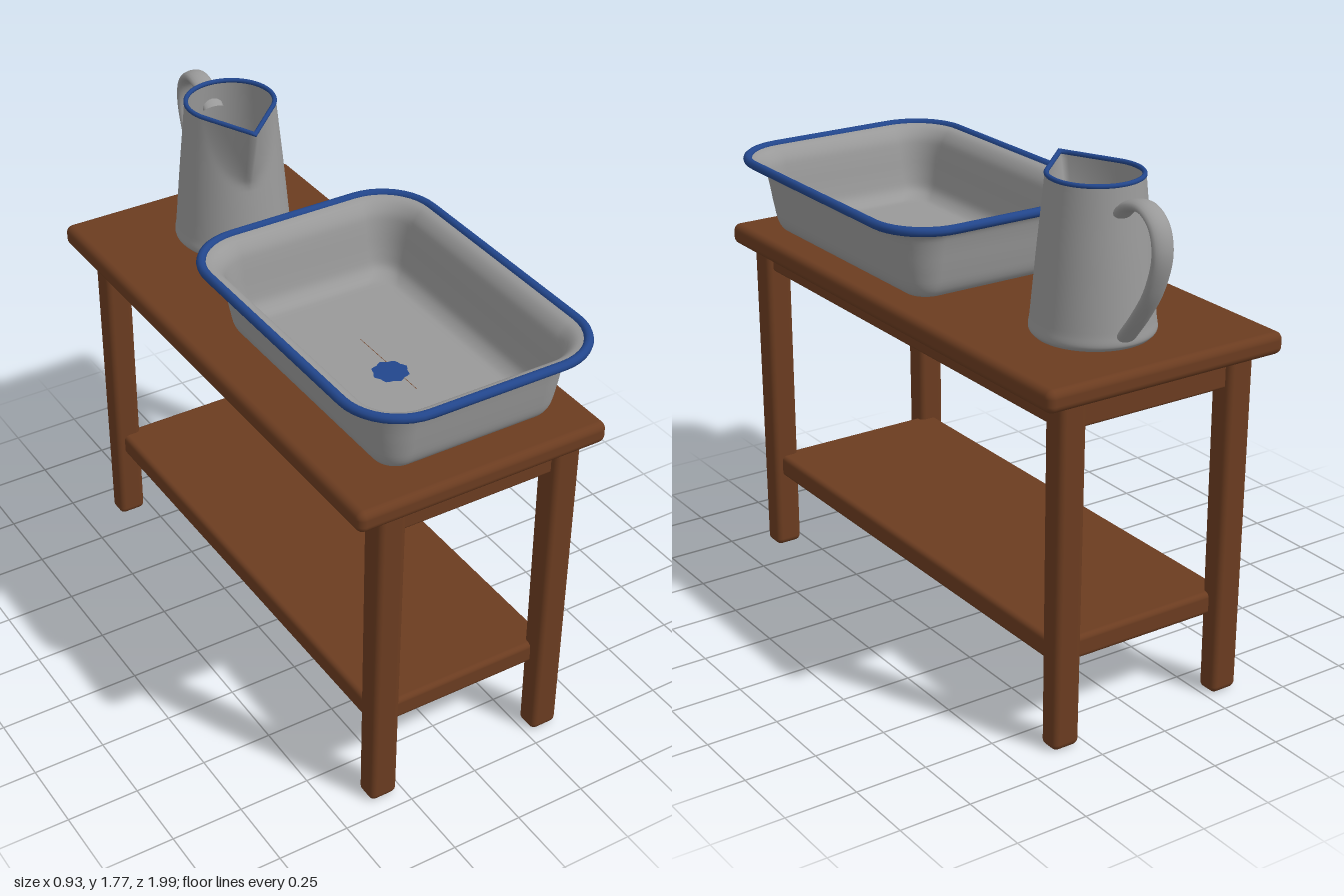
import * as THREE from 'three';
import { RoundedBoxGeometry } from 'three/addons/geometries/RoundedBoxGeometry.js';

const material = (name, color) => {
  const m = new THREE.MeshStandardMaterial({ color });
  m.name = name;
  return m;
};

// Skin a stack of closed rings (each an array of Vector3) with smooth normals
function loft(rings) {
  const n = rings[0].length, pos = [], idx = [];
  rings.forEach((ring) => ring.forEach((p) => pos.push(p.x, p.y, p.z)));
  for (let k = 0; k < rings.length - 1; k++) {
    for (let j = 0; j < n; j++) {
      const a = k * n + j, b = k * n + (j + 1) % n;
      idx.push(a, a + n, b + n, a, b + n, b);
    }
  }
  const g = new THREE.BufferGeometry();
  g.setAttribute('position', new THREE.Float32BufferAttribute(pos, 3));
  g.setIndex(idx);
  g.computeVertexNormals();
  return g;
}

// Smooth a coarse [radius, height] profile
function smooth(points, count) {
  const c = new THREE.CatmullRomCurve3(points.map(([r, y]) => new THREE.Vector3(r, y, 0)), false, 'centripetal');
  return c.getPoints(count).map((p) => [p.x, p.y]);
}

// Half-circle bead from the outer wall over to the inner wall
function bead(r, y, radius, from, to) {
  return Array.from({ length: 11 }, (_, i) => {
    const t = from + (to - from) * i / 10;
    return [r + radius * Math.cos(t), y + radius * Math.sin(t)];
  });
}

// Rounded rectangle ring of the basin; h is half its width
function basinRing([h, y]) {
  const hx = Math.max(h, 0.001), hz = hx + 0.165, r = Math.min(Math.max(h - 0.235, 0.07), hx);
  const ring = [];
  for (let q = 0; q < 4; q++) {
    const sx = q === 0 || q === 3 ? 1 : -1, sz = q < 2 ? 1 : -1;
    for (let i = 0; i <= 10; i++) {
      const t = (q + i / 10) * Math.PI / 2;
      ring.push(new THREE.Vector3(sx * (hx - r) + r * Math.cos(t), y, sz * (hz - r) + r * Math.sin(t)));
    }
  }
  return ring;
}

// Round ring of the jug, drawn out to a pointed spout near the top
function jugRing([r, y]) {
  const s = THREE.MathUtils.clamp((y - 1.53) / 0.235, 0, 1);
  const reach = Math.acos(0.15 / (0.15 + 0.108 * s));
  return Array.from({ length: 96 }, (_, i) => {
    const t = i / 96 * Math.PI * 2;
    let a = Math.abs(t - Math.PI / 2);
    a = Math.min(a, Math.PI * 2 - a);
    const q = r / Math.cos(Math.max(0, reach - a));
    return new THREE.Vector3(q * Math.cos(t), y, q * Math.sin(t));
  });
}

export function createModel() {
  const model = new THREE.Group();
  const wood = material('brown wood', 0x6b3c20);
  const enamel = material('grey enamel', 0x999999);
  const blue = material('blue trim', 0x22468c);

  const add = (parent, name, geometry, mat) => {
    const mesh = new THREE.Mesh(geometry, mat);
    mesh.name = name;
    parent.add(mesh);
    return mesh;
  };
  const group = (name, x, z) => {
    const g = new THREE.Group();
    g.name = name;
    g.position.set(x, 0, z);
    model.add(g);
    return g;
  };
  const board = (parent, name, min, max, radius) => {
    const s = max.map((v, i) => v - min[i]);
    const g = new RoundedBoxGeometry(s[0], s[1], s[2], 4, radius);
    g.translate(...min.map((v, i) => v + s[i] / 2));
    return add(parent, name, g, wood);
  };

  // Table
  const table = group('table', 0, 0);
  board(table, 'tableTop', [-0.465, 1.18, -0.957], [0.44, 1.255, 0.997], 0.026);
  board(table, 'shelf', [-0.34, 0.28, -0.87], [0.34, 0.36, 0.905], 0.018);
  for (const side of [-1, 1]) {
    const x = side * 0.322;
    board(table, 'sideApron', [x - 0.025, 1.09, -0.86], [x + 0.025, 1.19, 0.89], 0.01);
    const z = side > 0 ? 0.915 : -0.88;
    board(table, 'endApron', [-0.3, 1.09, z - 0.025], [0.3, 1.19, z + 0.025], 0.01);

    // Legs, tapering a little on the end faces
    for (const end of [-1, 1]) {
      const [z0, z1] = end > 0 ? [0.866, 0.963] : [-0.925, -0.834];
      const leg = board(table, 'leg', [x - 0.05, 0, z0], [x + 0.05, 1.2, z1], 0.022);
      const p = leg.geometry.attributes.position, inner = end > 0 ? z0 : z1;
      for (let i = 0; i < p.count; i++) {
        const k = 1 - 0.17 * (1 - p.getY(i) / 1.2);
        p.setZ(i, inner + (p.getZ(i) - inner) * k);
      }
    }
  }

  // Basin
  const basin = group('basin', 0.024, 0.39);
  const outer = smooth([[0.27, 1.255], [0.3, 1.258], [0.322, 1.285], [0.338, 1.35],
    [0.354, 1.44], [0.366, 1.48], [0.39, 1.502], [0.424, 1.512]], 28);
  const inner = smooth([[0.424, 1.526], [0.385, 1.516], [0.356, 1.485], [0.342, 1.44],
    [0.324, 1.35], [0.308, 1.3], [0.275, 1.274], [0.24, 1.27]], 28);
  add(basin, 'basinOuterWall', loft([[0, 1.255], ...outer].map(basinRing)), enamel);
  add(basin, 'basinInnerWall', loft([...inner, [0, 1.27]].map(basinRing)), enamel);
  add(basin, 'basinRim', loft(bead(0.424, 1.52, 0.016, -Math.PI * 0.8, Math.PI * 1.2).map(basinRing)), blue);

  // Worn spot on the basin floor
  const spot = new THREE.Shape(Array.from({ length: 32 }, (_, i) => {
    const t = i / 32 * Math.PI * 2, r = 0.058 + 0.004 * Math.cos(8 * t);
    return new THREE.Vector2(r * Math.cos(t), r * Math.sin(t));
  }));
  const spotMesh = add(basin, 'floorSpot', new THREE.ShapeGeometry(spot), blue);
  spotMesh.rotation.x = -Math.PI / 2;
  spotMesh.position.set(-0.022, 1.275, 0.047);

  // Jug
  const jug = group('jug', 0.022, -0.606);
  const wall = smooth([[0.19, 1.255], [0.202, 1.27], [0.198, 1.31], [0.188, 1.42],
    [0.177, 1.54], [0.165, 1.66], [0.155, 1.765]], 32);
  const lining = smooth([[0.145, 1.765], [0.155, 1.66], [0.167, 1.54], [0.178, 1.42],
    [0.186, 1.31], [0.17, 1.275]], 28);
  const body = new THREE.Group();
  body.name = 'jugBody';
  body.rotation.y = -0.19;
  jug.add(body);
  add(body, 'jugOuterWall', loft([[0, 1.255], ...wall].map(jugRing)), enamel);
  add(body, 'jugInnerWall', loft([...lining, [0, 1.272]].map(jugRing)), enamel);
  add(body, 'jugRim', loft(bead(0.15, 1.766, 0.008, -Math.PI * 0.5, Math.PI * 1.5).map(jugRing)), blue);

  // Jug handle: a flat oval strap swept along a curve
  const path = new THREE.CatmullRomCurve3([[0.14, 1.67], [0.2, 1.715], [0.285, 1.73], [0.35, 1.69],
    [0.372, 1.61], [0.335, 1.49], [0.265, 1.385], [0.215, 1.325], [0.185, 1.29]]
    .map(([d, y]) => new THREE.Vector3(0, y, -d)));
  const strap = Array.from({ length: 49 }, (_, i) => {
    const p = path.getPoint(i / 48), t = path.getTangent(i / 48);
    const up = new THREE.Vector3(0, -t.z, t.y);
    return Array.from({ length: 20 }, (_, j) => {
      const a = -j / 20 * Math.PI * 2;
      return p.clone().addScaledVector(up, 0.019 * Math.sin(a)).add(new THREE.Vector3(0.037 * Math.cos(a), 0, 0));
    });
  });
  const flip = strap.map((ring) => ring.slice().reverse());
  // Choose the winding that faces outward
  const g = loft(strap);
  const n = g.attributes.normal, q = g.attributes.position;
  const outward = n.getX(24 * 20) * q.getX(24 * 20) > 0;
  const handle = add(jug, 'jugHandle', outward ? g : loft(flip), enamel);
  handle.rotation.y = -0.08;

  return model;
}
